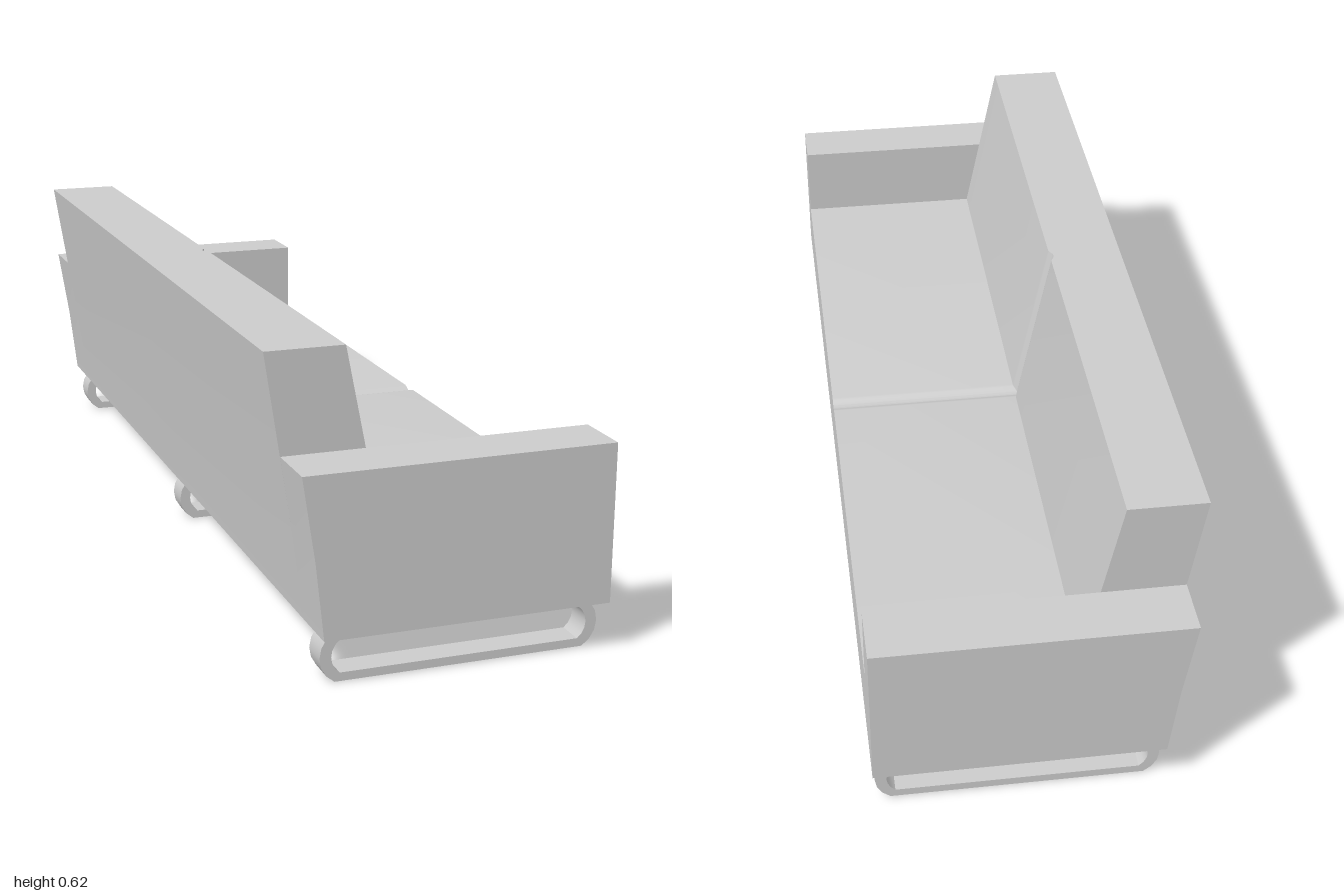
import * as THREE from 'three';
import { toCreasedNormals } from 'three/addons/utils/BufferGeometryUtils.js';

const material = new THREE.MeshStandardMaterial({ color: 0xcccccc });

const toShape = (points) => new THREE.Shape(points.map(([x, y]) => new THREE.Vector2(x, y)));

function addMesh(group, name, geometry, z = 0) {
  const mesh = new THREE.Mesh(toCreasedNormals(geometry, 0.6), material);
  mesh.name = name;
  mesh.position.z = z;
  group.add(mesh);
}

const extrude = (shape, depth, steps = 1) =>
  new THREE.ExtrudeGeometry(shape, { depth, steps, bevelEnabled: false });

// Long loop with shallow, faceted round ends
function loopPoints(x0, x1, halfHeight, bulge) {
  const r = (halfHeight ** 2 + bulge ** 2) / (2 * bulge);
  const half = Math.asin(halfHeight / r);
  const points = [];
  for (const side of [1, -1]) {
    for (let i = 0; i <= 6; i++) {
      const a = -half + (2 * half * i) / 6;
      const centre = side > 0 ? x1 + bulge - r : x0 - bulge + r;
      points.push([centre + side * r * Math.cos(a), 0.05 + side * r * Math.sin(a)]);
    }
  }
  return points;
}

// Seat and backrest in one body, with a soft seam sunk into the middle
function seatAndBack() {
  const sections = [-0.88, -0.024, -0.018, -0.012, -0.006, 0, 0.006, 0.012, 0.018, 0.024, 0.88];
  const steps = sections.length - 1;
  const geometry = extrude(toShape([
    [-0.252, 0.1], [0.327, 0.1], [0.327, 0.255], [-0.095, 0.255],
    [-0.17, 0.62], [-0.328, 0.62], [-0.27, 0.255],
  ]), 1, steps);
  const p = geometry.attributes.position;
  for (let i = 0; i < p.count; i++) {
    const x = p.getX(i), y = p.getY(i);
    const z = sections[Math.round(p.getZ(i) * steps)];
    const dent = Math.abs(z) < 0.024 ? 0.009 * Math.cos((z / 0.024) * Math.PI / 2) ** 2 : 0;
    if (x > -0.1 && y > 0.2) p.setY(i, y - dent);
    if (x > -0.2 && x < 0 && y > 0.2) p.setX(i, x - dent);
    p.setZ(i, z);
  }
  return geometry;
}

export function createModel() {
  const sofa = new THREE.Group();
  sofa.name = 'sofa';

  addMesh(sofa, 'seatAndBack', seatAndBack());

  // Armrests
  const arm = toShape([
    [-0.252, 0.1], [0.327, 0.1], [0.327, 0.42], [-0.296, 0.42], [-0.27, 0.255],
  ]);
  addMesh(sofa, 'leftArm', extrude(arm, 0.12), -1);
  addMesh(sofa, 'rightArm', extrude(arm, 0.12), 0.88);

  // Flat loop legs running from back to front of the seat
  const leg = toShape(loopPoints(-0.217, 0.291, 0.05, 0.03));
  leg.holes.push(toShape(loopPoints(-0.207, 0.281, 0.033, 0.017)));
  for (const z of [-0.933, 0, 0.933]) addMesh(sofa, 'loopLeg', extrude(leg, 0.056), z - 0.028);

  return sofa;
}
